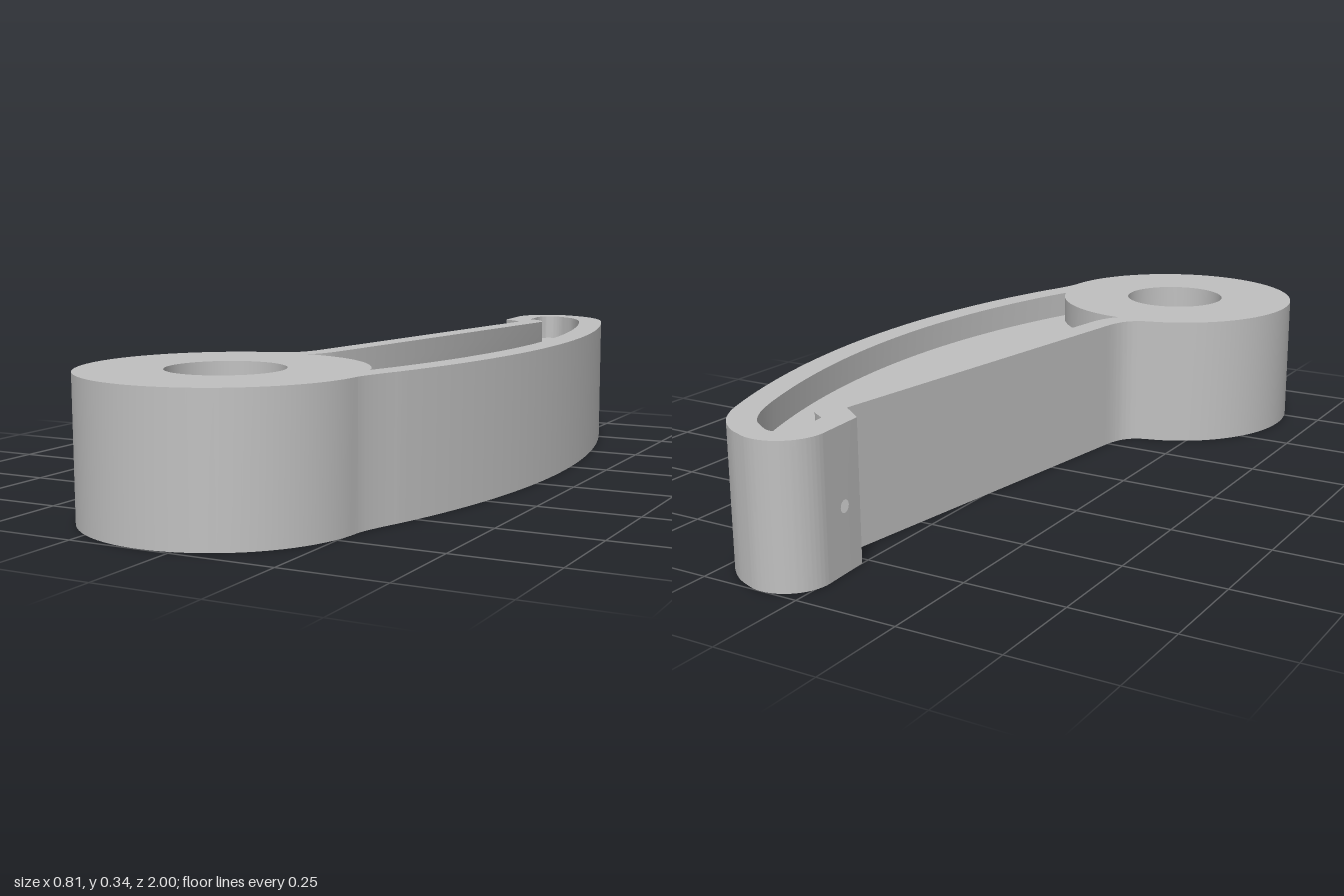
import * as THREE from 'three';
import { toCreasedNormals } from 'three/addons/utils/BufferGeometryUtils.js';

const HEIGHT = 0.335;
const FLOOR = 0.268;
const BOSS = [-0.075, -0.665];   // plan coordinates are (x, -z)
const BOW = [-1.695, 0.12];      // centre of the long curved edge

// Sample a path without repeated points, wound as asked
function sample(path, clockwise) {
  const pts = path.getPoints(28).filter((p, i, all) =>
    p.distanceTo(all[(i + 1) % all.length]) > 0.0015);
  return THREE.ShapeUtils.isClockWise(pts) === clockwise ? pts : pts.reverse();
}

// Vertical wall along a closed loop
function wall(loop, y0, y1) {
  return loop.flatMap((a, i) => {
    const b = loop[(i + 1) % loop.length];
    return [[a, y0], [b, y0], [b, y1], [a, y0], [b, y1], [a, y1]];
  });
}

// Flat face bounded by a loop, with holes
function cap(loop, holes, y, down = false) {
  const pts = [loop, ...holes].flat();
  return THREE.ShapeUtils.triangulateShape(loop, holes)
    .flatMap((f) => (down ? [f[2], f[1], f[0]] : f).map((i) => [pts[i], y]));
}

function makeMesh(name, corners, material) {
  const geometry = new THREE.BufferGeometry();
  geometry.setAttribute('position', new THREE.Float32BufferAttribute(
    corners.flatMap(([p, y]) => [p.x, y, -p.y]), 3));
  const mesh = new THREE.Mesh(toCreasedNormals(geometry, 0.45), material);
  mesh.name = name;
  return mesh;
}

// Outer edge: round boss, bowed back, rounded tip with hook, straight inner edge
function outlinePath() {
  const s = new THREE.Path();
  s.absarc(...BOSS, 0.333, 1.777, 6.262, false);
  s.quadraticCurveTo(0.263, -0.635, 0.293, -0.556);
  s.absarc(...BOW, 2.1, -0.3277, 0.3398, false);
  s.splineThru([[0.262, 0.875], [0.225, 0.93], [0.175, 0.972], [0.128, 0.993]]
    .map((p) => new THREE.Vector2(...p)));
  s.absarc(0.092, 0.9, 0.1, 1.2, Math.PI + 0.1, false);
  s.lineTo(0, 0.772);
  s.lineTo(0.045, 0.75);
  s.quadraticCurveTo(0.062, 0.742, 0.062, 0.725);
  s.lineTo(-0.074, -0.238);
  s.bezierCurveTo(-0.082, -0.295, -0.1, -0.325, -0.143, -0.339);
  return s;
}

// Recess in the top of the arm, following the outer edge
function pocketPath() {
  const s = new THREE.Path();
  s.moveTo(0.2225, -0.561);
  s.absarc(...BOW, 2.035, -0.3404, 0.341, false);
  s.splineThru([[0.2, 0.85], [0.165, 0.9], [0.115, 0.935]]
    .map((p) => new THREE.Vector2(...p)));
  s.bezierCurveTo(0.075, 0.95, 0.05, 0.925, 0.055, 0.885);
  s.lineTo(0.063, 0.812);
  s.lineTo(0.095, 0.793);
  s.quadraticCurveTo(0.12, 0.77, 0.127, 0.74);
  s.lineTo(-0.016, -0.25);
  s.quadraticCurveTo(-0.025, -0.315, -0.053, -0.344);
  s.absarc(...BOSS, 0.321, 1.502, 0.331, true);
  return s;
}

export function createModel() {
  const group = new THREE.Group();
  group.name = 'leverArm';
  const grey = new THREE.MeshStandardMaterial({ color: 0xc0c0c0 });
  grey.name = 'light grey';
  const pale = new THREE.MeshStandardMaterial({ color: 0xf4f4f4 });
  pale.name = 'pale grey';

  const outline = sample(outlinePath(), false);
  const bore = sample(new THREE.Path().absarc(...BOSS, 0.136, 0, Math.PI * 2, false), true);
  const pocket = sample(pocketPath(), true);

  // Solid arm and boss
  group.add(makeMesh('armBody', [
    ...wall(outline, 0, HEIGHT),
    ...cap(outline, [bore, pocket], HEIGHT),
    ...cap(outline, [bore], 0, true),
  ], grey));

  // Pivot hole through the boss
  group.add(makeMesh('pivotBore', wall(bore, 0, HEIGHT), grey));

  // Recess walls and floor
  group.add(makeMesh('recess', [
    ...wall(pocket, FLOOR, HEIGHT),
    ...cap([...pocket].reverse(), [], FLOOR),
  ], grey));

  // Small pin hole mark on the flat side of the hook
  const pin = new THREE.Mesh(new THREE.CircleGeometry(0.015, 20), pale);
  pin.name = 'pinHole';
  pin.rotation.y = -Math.PI / 2 + 0.05;
  pin.position.set(-0.0075, 0.155, -0.835);
  group.add(pin);

  return group;
}
